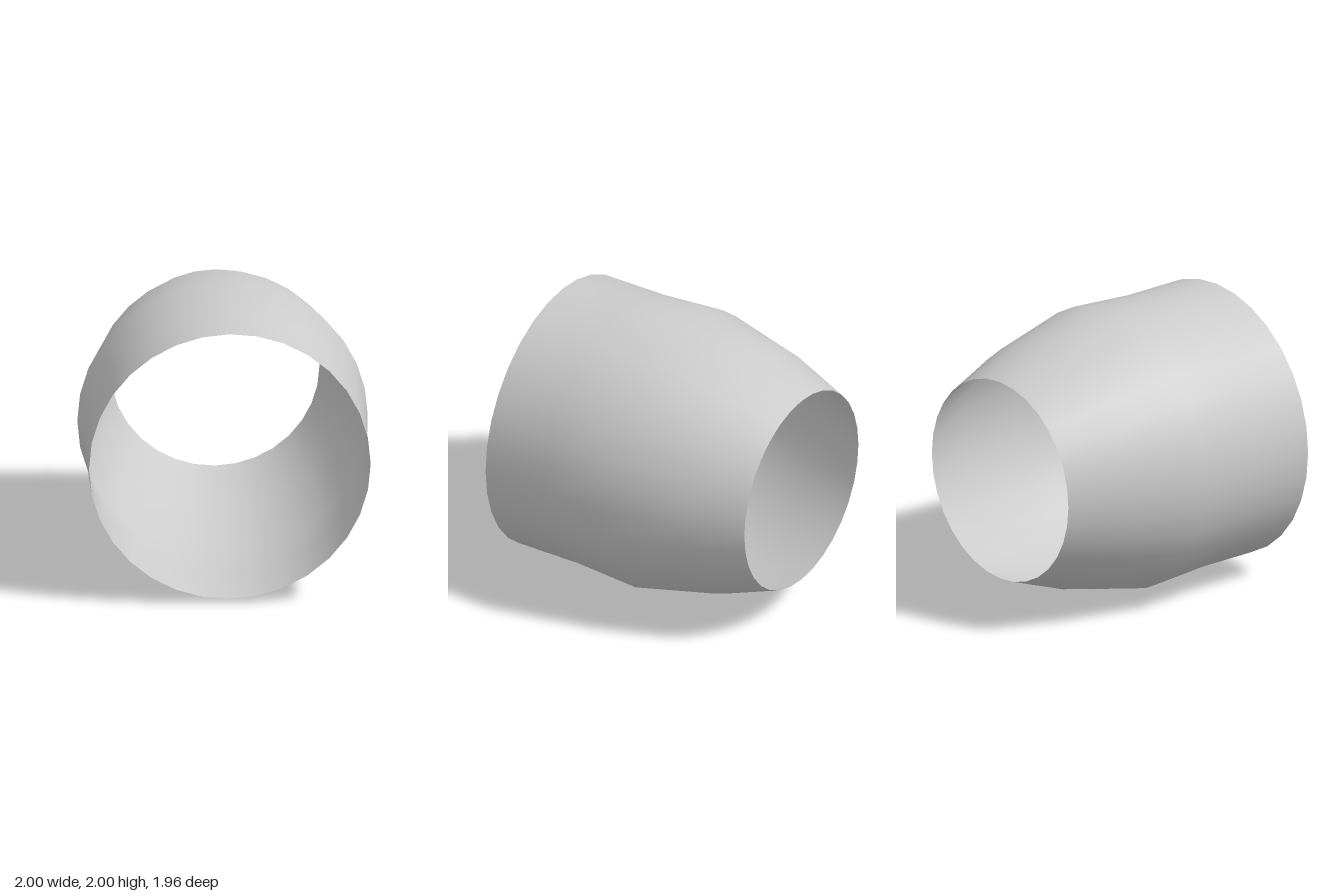
import * as THREE from 'three';

// Open, thin-walled tapered sleeve lying along z
export function createModel() {
  const group = new THREE.Group();
  group.name = 'taperedSleeve';

  // [radius, z] from the narrow back rim to the wide front rim
  const profile = [
    [0.72, -0.98],
    [0.87, -0.56],
    [1.0, 0.02],
    [0.97, 0.5],
    [0.97, 0.98],
  ].map(([r, z]) => new THREE.Vector2(r, z));

  const geometry = new THREE.LatheGeometry(profile, 32);
  geometry.rotateX(Math.PI / 2); // lathe axis y becomes z

  const material = new THREE.MeshStandardMaterial({ color: 0xcccccc, side: THREE.DoubleSide });
  const shell = new THREE.Mesh(geometry, material);
  shell.name = 'shell';
  shell.position.y = 1;
  group.add(shell);

  return group;
}
